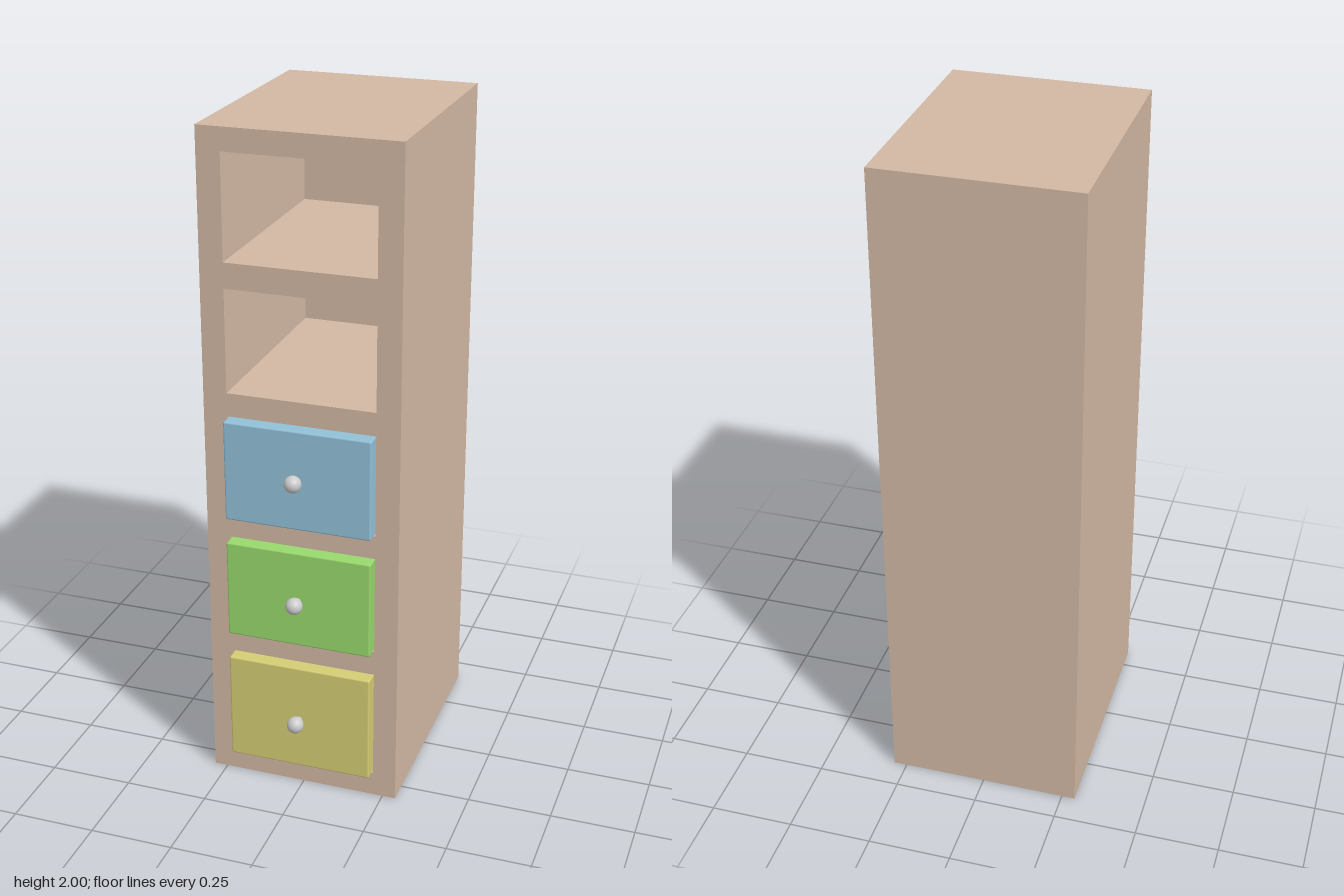
import * as THREE from 'three';
import { RoundedBoxGeometry } from 'three/addons/geometries/RoundedBoxGeometry.js';

const WIDTH = 0.58, HEIGHT = 2, BACK = -0.41, FRONT = 0.315, BACK_THICKNESS = 0.07;
const OPENING = 0.44; // opening width

// Bays from bottom to top; those with a colour hold a drawer
const BAYS = [
  { bottom: 0.077, top: 0.417, knob: 0.242, color: 0xd4cc74 },
  { bottom: 0.493, top: 0.797, knob: 0.642, color: 0x98d86c },
  { bottom: 0.868, top: 1.175, knob: 1.028, color: 0x92c0d8 },
  { bottom: 1.245, top: 1.552 },
  { bottom: 1.627, top: 1.933 },
];

const material = (color) => new THREE.MeshStandardMaterial({ color });

function addMesh(parent, name, geometry, mat, x, y, z) {
  const mesh = new THREE.Mesh(geometry, mat);
  mesh.name = name;
  mesh.position.set(x, y, z);
  parent.add(mesh);
  return mesh;
}

function rectangle(target, halfWidth, bottom, top) {
  target.moveTo(-halfWidth, bottom);
  target.lineTo(halfWidth, bottom);
  target.lineTo(halfWidth, top);
  target.lineTo(-halfWidth, top);
  target.closePath();
  return target;
}

// Cabinet body: an extruded frame with a hole per bay, closed by a back panel
function createCabinet(mat) {
  const cabinet = new THREE.Group();
  cabinet.name = 'cabinet';
  const outline = rectangle(new THREE.Shape(), WIDTH / 2, 0, HEIGHT);
  for (const bay of BAYS) {
    outline.holes.push(rectangle(new THREE.Path(), OPENING / 2, bay.bottom, bay.top));
  }
  const inner = BACK + BACK_THICKNESS;
  const frame = new THREE.ExtrudeGeometry(outline, { depth: FRONT - inner, bevelEnabled: false });
  addMesh(cabinet, 'frame', frame, mat, 0, 0, inner);
  addMesh(cabinet, 'backPanel', new THREE.BoxGeometry(WIDTH, HEIGHT, BACK_THICKNESS), mat,
    0, HEIGHT / 2, BACK + BACK_THICKNESS / 2);
  return cabinet;
}

// Drawer: a softly edged block standing proud of the frame, with a round knob
function createDrawer(bay, knobMaterial) {
  const drawer = new THREE.Group();
  drawer.name = 'drawer';
  const gap = 0.002, face = 0.353, rear = BACK + BACK_THICKNESS + 0.01;
  const block = new RoundedBoxGeometry(OPENING - 2 * gap, bay.top - bay.bottom - 2 * gap,
    face - rear, 2, 0.005);
  addMesh(drawer, 'drawerBlock', block, material(bay.color),
    0, (bay.bottom + bay.top) / 2, (face + rear) / 2);

  const stem = addMesh(drawer, 'knobStem', new THREE.CylinderGeometry(0.01, 0.01, 0.035, 16),
    knobMaterial, 0, bay.knob, 0.362);
  stem.rotation.x = Math.PI / 2;
  addMesh(drawer, 'knob', new THREE.SphereGeometry(0.025, 32, 20), knobMaterial,
    0, bay.knob, 0.385);
  return drawer;
}

export function createModel() {
  const model = new THREE.Group();
  model.name = 'drawerTower';
  const knobMaterial = material(0xcccccc);
  model.add(createCabinet(material(0xd2b8a3)));
  for (const bay of BAYS) {
    if (bay.color) model.add(createDrawer(bay, knobMaterial));
  }
  return model;
}
